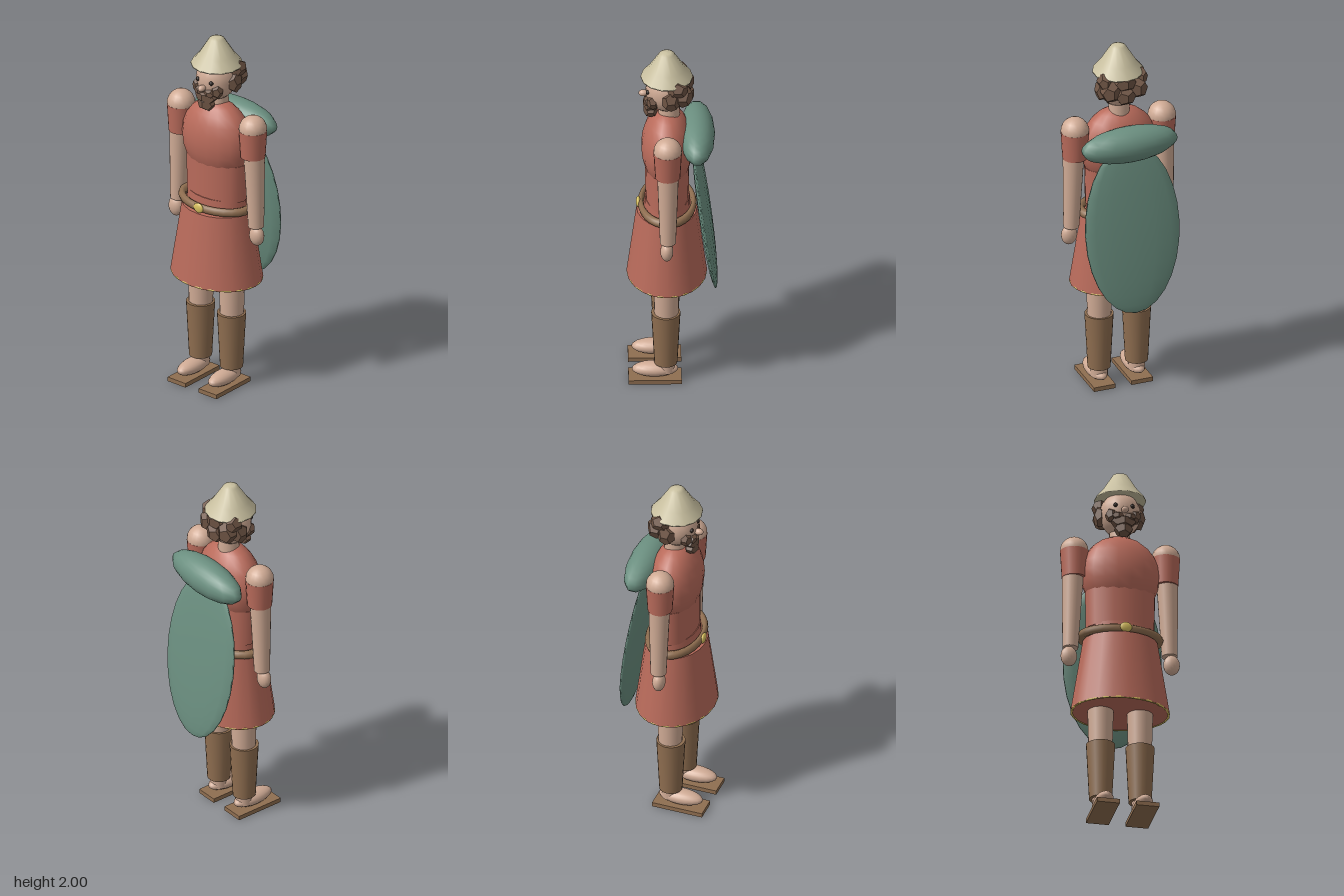
import * as THREE from 'three';

const mat = (color, flat = false) => new THREE.MeshStandardMaterial({ color, flatShading: flat });

export function createModel() {
  const root = new THREE.Group();
  const red = mat(0xb96b5b), green = mat(0x6b8f80), skin = mat(0xd0ab95), leather = mat(0x8f6e50);
  const hair = mat(0x6f5545, true), felt = mat(0xc9c0a0), gold = mat(0xd8c060), dark = mat(0x2a221e);

  const add = (name, geo, material, pos, scale = [1, 1, 1], parent = root) => {
    const m = new THREE.Mesh(geo, material);
    m.name = name;
    m.position.set(...pos);
    m.scale.set(...scale);
    parent.add(m);
    return m;
  };
  const ball = (name, material, pos, scale, parent, w = 18, h = 12) =>
    add(name, new THREE.SphereGeometry(1, w, h), material, pos, scale, parent);
  // Upright tapered tube between two heights, squashed in z
  const tube = (name, material, rTop, rBottom, y0, y1, x, z, depth = 1, parent = root) =>
    add(name, new THREE.CylinderGeometry(rTop, rBottom, y1 - y0, 20), material, [x, (y0 + y1) / 2, z], [1, 1, depth], parent);
  const ring = (name, material, r, t, y, z, depth, height = 1) => {
    const geo = new THREE.TorusGeometry(r, t, 8, 28).rotateX(Math.PI / 2);
    return add(name, geo, material, [0, y, z], [1, height, depth]);
  };

  // Tunic
  tube('skirt', red, 0.2, 0.265, 0.615, 1.02, 0, 0.027, 0.8);
  ring('skirtTrim', gold, 0.258, 0.006, 0.617, 0.027, 0.8);
  tube('hips', red, 0.175, 0.18, 1.0, 1.1, 0, 0.025, 0.68);
  tube('waist', red, 0.188, 0.184, 1.09, 1.3, 0, 0.025, 0.62);
  ball('chest', red, [0, 1.41, 0.025], [0.213, 0.225, 0.137]);

  // Belt and buckle
  ring('belt', leather, 0.208, 0.024, 1.047, 0.025, 0.67);
  ball('buckle', gold, [0, 1.05, 0.177], [0.032, 0.028, 0.012]);

  // Arms and legs, mirrored
  for (const s of [1, -1]) {
    const arm = new THREE.Group();
    arm.name = s > 0 ? 'leftArm' : 'rightArm';
    ball('shoulder', skin, [s * 0.246, 1.535, 0.025], [0.075, 0.075, 0.075], arm);
    tube('sleeve', red, 0.075, 0.066, 1.375, 1.53, s * 0.246, 0.025, 1, arm);
    const fore = tube('arm', skin, 0.058, 0.042, 0.97, 1.42, s * 0.26, 0.024, 1, arm);
    fore.rotation.z = s * 0.03;
    ball('hand', skin, [s * 0.276, 0.92, 0.03], [0.044, 0.056, 0.034], arm);
    root.add(arm);

    const leg = new THREE.Group();
    leg.name = s > 0 ? 'leftLeg' : 'rightLeg';
    tube('thigh', skin, 0.07, 0.063, 0.38, 0.66, s * 0.106, 0.03, 1, leg);
    tube('greave', leather, 0.077, 0.061, 0.105, 0.42, s * 0.106, 0.033, 1, leg);
    tube('ankle', skin, 0.045, 0.045, 0.05, 0.12, s * 0.106, 0.03, 1, leg);
    ball('foot', skin, [s * 0.106, 0.062, 0.09], [0.052, 0.04, 0.122], leg);
    add('sole', new THREE.BoxGeometry(0.122, 0.024, 0.28), leather, [s * 0.106, 0.012, 0.09], [1, 1, 1], leg);
    root.add(leg);
  }

  // Cape: rolled collar and a thin hanging shell leaning backwards
  const capeGeo = new THREE.SphereGeometry(1, 14, 14).rotateY(Math.PI / 2);
  add('capeRoll', capeGeo, green, [0, 1.482, -0.132], [0.271, 0.097, 0.095]);
  const cape = add('cape', capeGeo, green, [0, 1.0, -0.172], [0.271, 0.475, 0.03]);
  cape.rotation.x = 0.13;

  // Head
  tube('neck', skin, 0.053, 0.058, 1.57, 1.7, 0, 0.015);
  ball('head', skin, [0, 1.765, 0.027], [0.108, 0.122, 0.112]);
  ball('nose', skin, [0, 1.742, 0.15], [0.019, 0.018, 0.026], root, 10, 8);
  for (const s of [1, -1]) ball('eye', dark, [s * 0.045, 1.775, 0.126], [0.012, 0.012, 0.012], root, 10, 8);

  // Hair, moustache and beard from faceted lumps: x, y, z, width, height, depth
  const lump = new THREE.DodecahedronGeometry(1);
  const tuft = (name, [x, y, z, a, b, c]) => {
    for (const s of x ? [1, -1] : [1]) add(name, lump, hair, [s * x, y, z], [a, b, c]);
  };
  [
    [0, 1.82, -0.07, 0.06, 0.055, 0.05], [0, 1.74, -0.075, 0.058, 0.055, 0.045],
    [0.075, 1.77, -0.055, 0.056, 0.065, 0.055], [0.1, 1.825, -0.03, 0.04, 0.048, 0.055],
    [0.105, 1.755, 0.005, 0.034, 0.06, 0.05],
  ].forEach((t) => tuft('hair', t));
  [
    [0.063, 1.725, 0.1, 0.034, 0.042, 0.034], [0.032, 1.712, 0.126, 0.034, 0.026, 0.024],
  ].forEach((t) => tuft('moustache', t));
  tuft('beard', [0, 1.685, 0.11, 0.07, 0.045, 0.045]);
  tuft('beardTip', [0, 1.642, 0.112, 0.052, 0.045, 0.04]);

  // Conical cap
  const capProfile = [[0, 1.85], [0.137, 1.842], [0.137, 1.85], [0.096, 1.9], [0.04, 1.99], [0.022, 1.998], [0, 2.0]]
    .map(([r, y]) => new THREE.Vector2(r, y));
  add('cap', new THREE.LatheGeometry(capProfile, 14), felt, [0, 0, 0.027]);

  return root;
}
